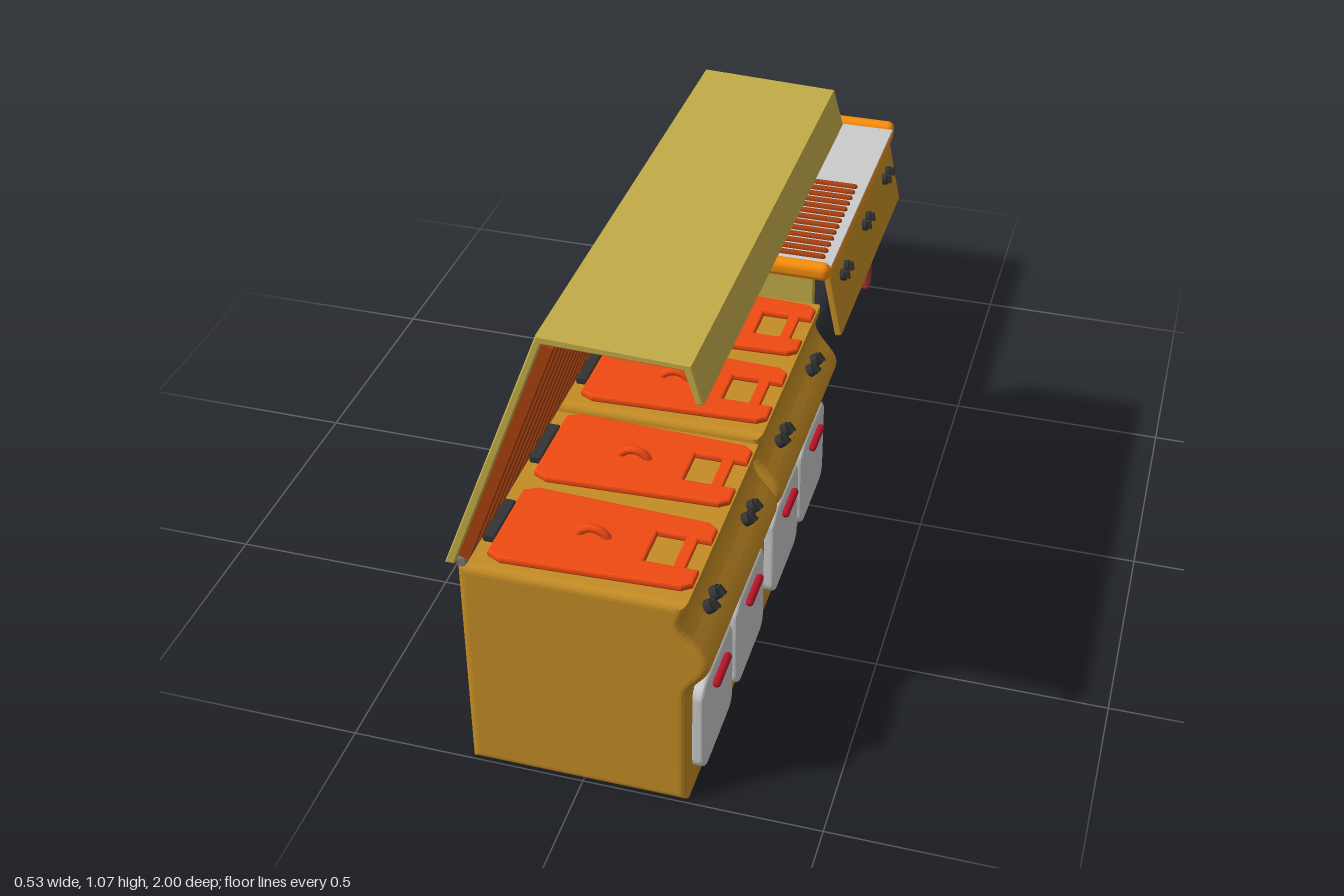
import * as THREE from 'three';
import { RoundedBoxGeometry } from 'three/addons/geometries/RoundedBoxGeometry.js';

const mat = (color) => new THREE.MeshStandardMaterial({ color });
const M = {
  body: mat(0xc48c24), rim: mat(0xf58c0c), lid: mat(0xc4ac48), plate: mat(0xf04a12),
  rib: mat(0xa8400f), grey: mat(0xcccccc), handle: mat(0xb81428), knob: mat(0x333333),
  foot: mat(0xa83a30), steel: mat(0x777777),
};

function add(parent, name, geometry, material, x = 0, y = 0, z = 0) {
  const mesh = new THREE.Mesh(geometry, material);
  mesh.name = name;
  mesh.position.set(x, y, z);
  parent.add(mesh);
  return mesh;
}

const polygon = (pts) => new THREE.Shape(pts.map(([x, y]) => new THREE.Vector2(x, y)));

// Extrudes a shape so that its bevelled outline and depth stay at the given size
function slab(shape, depth, bevel, steps = 3) {
  const g = new THREE.ExtrudeGeometry(shape, {
    depth: depth - 2 * bevel, bevelEnabled: bevel > 0, bevelSize: bevel,
    bevelThickness: bevel, bevelOffset: -bevel, bevelSegments: steps, curveSegments: 8,
  });
  return g.translate(0, 0, bevel - depth / 2);
}

function roundedRect(w, h, r) {
  const s = new THREE.Shape();
  s.absarc(w / 2 - r, h / 2 - r, r, 0, Math.PI / 2);
  s.absarc(-w / 2 + r, h / 2 - r, r, Math.PI / 2, Math.PI);
  s.absarc(-w / 2 + r, -h / 2 + r, r, Math.PI, Math.PI * 1.5);
  s.absarc(w / 2 - r, -h / 2 + r, r, Math.PI * 1.5, Math.PI * 2);
  s.closePath();
  return s;
}

// Pair of knobs side by side; tilt turns their axis from straight up towards +x
function knobPair(parent, x, y, z, tilt) {
  for (const side of [-1, 1]) {
    const knob = new THREE.Group();
    knob.name = 'knob';
    knob.position.set(x, y, z + side * 0.021);
    knob.rotation.z = -tilt;
    add(knob, 'knobBase', new THREE.CylinderGeometry(0.014, 0.015, 0.016, 16), M.knob);
    add(knob, 'knobGrip', new THREE.BoxGeometry(0.022, 0.012, 0.007), M.knob, 0, 0.012);
    parent.add(knob);
  }
}

// Cabinet side outline with the bulging control panel
function cabinetShape() {
  const s = new THREE.Shape();
  s.moveTo(-0.24, 0);
  s.lineTo(0.22, 0);
  s.lineTo(0.222, 0.27);
  s.bezierCurveTo(0.222, 0.315, 0.265, 0.325, 0.265, 0.362);
  s.bezierCurveTo(0.265, 0.395, 0.212, 0.425, 0.212, 0.46);
  s.bezierCurveTo(0.212, 0.475, 0.223, 0.48, 0.222, 0.512);
  s.lineTo(-0.24, 0.512);
  s.closePath();
  return s;
}

// Flat griddle plate with a notch and a slot at its front, and an arched handle
function addPlate(parent, z) {
  const s = polygon([[-0.19, -0.1], [-0.16, -0.115], [0.2, -0.1], [0.22, -0.085], [0.22, -0.045],
    [0.11, -0.045], [0.11, 0.045], [0.22, 0.045], [0.22, 0.085], [0.2, 0.1], [-0.16, 0.115], [-0.19, 0.1]]);
  const geo = slab(s, 0.016, 0.005, 2).rotateX(-Math.PI / 2);
  add(parent, 'griddlePlate', geo, M.plate, 0, 0.519, z);
  add(parent, 'plateCrossbar', new RoundedBoxGeometry(0.025, 0.012, 0.1, 2, 0.004), M.plate, 0.18, 0.519, z);
  add(parent, 'plateHandle', new THREE.TorusGeometry(0.033, 0.009, 10, 20, Math.PI), M.plate, -0.008, 0.51, z);
}

function addDoor(parent, z) {
  const geo = slab(roundedRect(0.22, 0.225, 0.035), 0.03, 0.008).rotateY(Math.PI / 2);
  add(parent, 'ovenDoor', geo, M.grey, 0.23, 0.163, z);
  const grip = new THREE.CapsuleGeometry(0.009, 0.08, 4, 10).rotateX(Math.PI / 2);
  add(parent, 'doorHandle', grip, M.handle, 0.252, 0.235, z);
}

function createCabinet(zCentre) {
  const g = new THREE.Group();
  g.name = 'cabinet';
  g.position.z = zCentre;
  add(g, 'cabinetBody', slab(cabinetShape(), 0.545, 0.018, 5), M.body);
  for (const side of [-1, 1]) {
    addDoor(g, side * 0.126);
    knobPair(g, 0.238, 0.428, side * 0.14, 0.9);
    addPlate(g, side * 0.132);
    add(g, 'hingeBlock', new RoundedBoxGeometry(0.028, 0.02, 0.12, 2, 0.005), M.knob, -0.202, 0.52, side * 0.132);
  }
  return g;
}

// Folded hood standing open, lined with slanted ribs
function createHood() {
  const g = new THREE.Group();
  g.name = 'hood';
  const s = polygon([[-0.262, 0.512], [-0.05, 1.073], [0.236, 1.062], [0.258, 0.982],
    [0.244, 0.979], [0.222, 1.048], [-0.04, 1.055], [-0.242, 0.512]]);
  add(g, 'hoodShell', slab(s, 1.095, 0.003, 1), M.lid, 0, 0, 0.4525);
  const lean = Math.atan2(0.202, 0.543);
  for (let i = 0; i < 19; i++) {
    const rib = add(g, 'hoodRib', new THREE.BoxGeometry(0.024, 0.555, 0.026), M.rib,
      -0.129, 0.787, 0.98 - i * 0.0586);
    rib.rotation.z = -lean;
  }
  const rod = new THREE.CylinderGeometry(0.01, 0.01, 1.1, 12).rotateX(Math.PI / 2);
  add(g, 'hingeRod', rod, M.steel, -0.228, 0.518, 0.448);
  return g;
}

function createTable() {
  const g = new THREE.Group();
  g.name = 'grillTable';
  g.position.z = -0.61;

  // Top with a raised rim on three sides
  add(g, 'tableTop', new THREE.BoxGeometry(0.45, 0.026, 0.74), M.rim, -0.017, 0.5, 0);
  add(g, 'cookingSurface', new THREE.BoxGeometry(0.43, 0.006, 0.71), M.grey, -0.006, 0.515, 0);
  add(g, 'backRim', new RoundedBoxGeometry(0.05, 0.044, 0.78, 4, 0.02), M.rim, -0.245, 0.508, 0);
  for (const side of [-1, 1]) {
    add(g, 'endRim', new RoundedBoxGeometry(0.48, 0.044, 0.038, 4, 0.018), M.rim, -0.03, 0.508, side * 0.371);
  }
  for (let i = 0; i < 13; i++) {
    const bar = new THREE.CapsuleGeometry(0.008, 0.38, 3, 8).rotateZ(Math.PI / 2);
    add(g, 'grillBar', bar, M.rib, -0.01, 0.519, 0.325 - i * 0.0292);
  }

  // Slanted control panel
  const panel = new THREE.Group();
  panel.name = 'controlPanel';
  panel.position.set(0.212, 0.408, 0);
  panel.rotation.z = 0.2;
  add(panel, 'panelBoard', new RoundedBoxGeometry(0.018, 0.185, 0.695, 2, 0.005), M.body);
  for (const z of [0.243, -0.003, -0.247]) knobPair(panel, 0.012, 0.03, z, Math.PI / 2);
  g.add(panel);

  // Arched end boards with feet
  const arch = polygon([[-0.22, 0.09], [-0.155, 0.09], [-0.155, 0.25], [-0.14, 0.265], [0.085, 0.265],
    [0.1, 0.25], [0.1, 0.09], [0.165, 0.09], [0.165, 0.49], [-0.22, 0.49]]);
  for (const side of [-1, 1]) {
    add(g, 'legBoard', slab(arch, 0.018, 0.003, 1), M.lid, 0, 0, side * 0.335);
    for (const x of [-0.1875, 0.1325]) {
      add(g, 'foot', new RoundedBoxGeometry(0.08, 0.07, 0.042, 2, 0.01), M.foot, x, 0.069, side * 0.335);
    }
  }
  return g;
}

export function createModel() {
  const model = new THREE.Group();
  model.name = 'outdoorKitchen';
  model.add(createCabinet(0.7275), createCabinet(0.1695), createHood(), createTable());
  return model;
}
